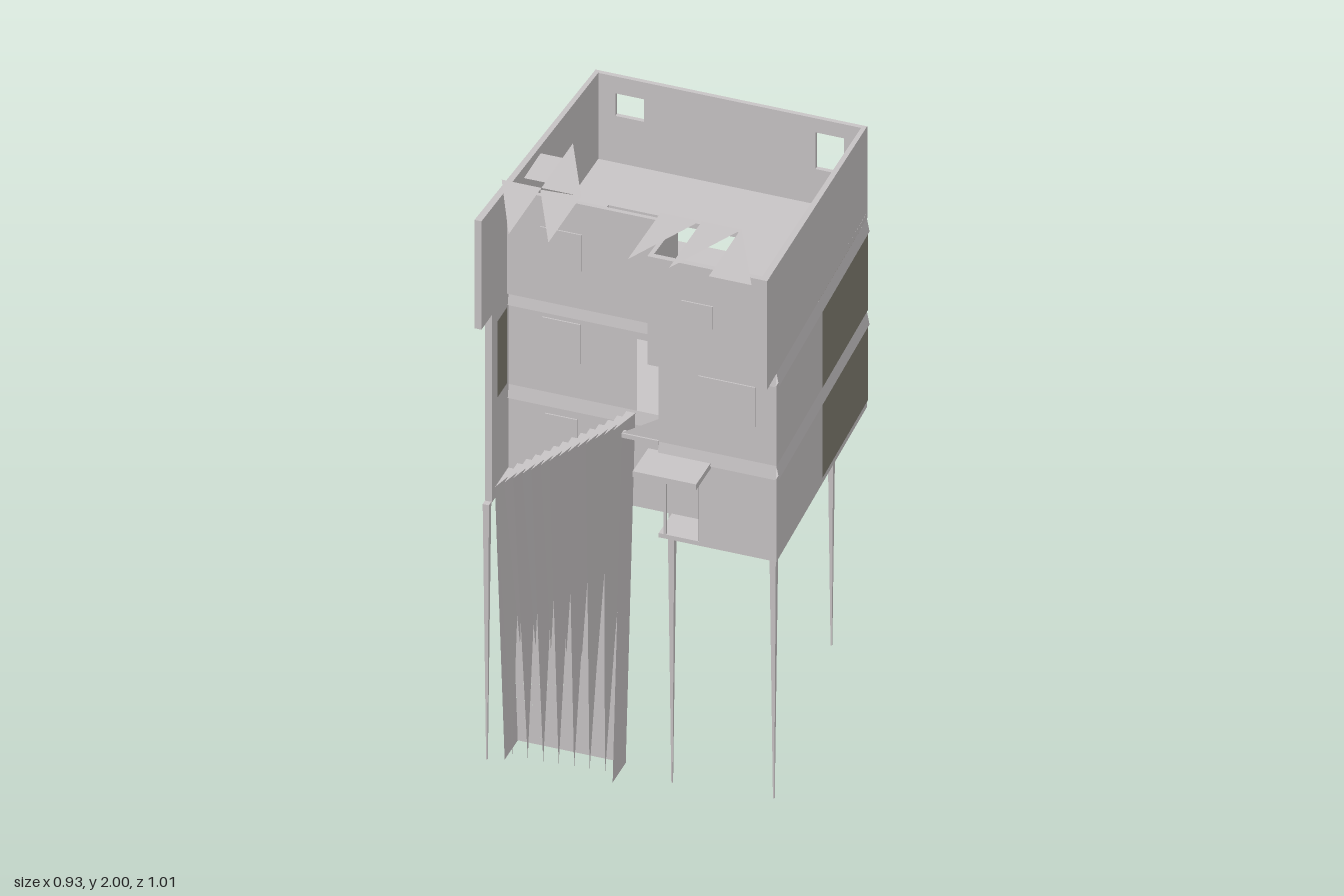
import * as THREE from 'three';

const wallMat = new THREE.MeshStandardMaterial({ color: 0xc8c4c5 });
wallMat.name = 'pale grey wall';
const sheetMat = new THREE.MeshStandardMaterial({ color: 0xc8c4c5, side: THREE.DoubleSide });
sheetMat.name = 'pale grey sheet';
const oliveMat = new THREE.MeshStandardMaterial({ color: 0x807d71, side: THREE.DoubleSide });
oliveMat.name = 'olive panel';

const roofY = (z) => 1.93 + (z + 0.5) * 0.063;
const sideX = (s, z) => (s > 0 ? 0.44 + 0.045 * z : -0.45 - 0.025 * z);

export function createModel() {
  const model = new THREE.Group();
  const add = (name, geo, mat = wallMat) => {
    const m = new THREE.Mesh(geo, mat);
    m.name = name;
    model.add(m);
    return m;
  };
  const box = (name, x0, x1, y0, y1, z0, z1) => {
    const g = new THREE.BoxGeometry(x1 - x0, y1 - y0, z1 - z0);
    g.translate((x0 + x1) / 2, (y0 + y1) / 2, (z0 + z1) / 2);
    return add(name, g);
  };
  // Flat faces from a list of triangles or quads
  const faces = (name, polys, mat = sheetMat) => {
    const p = [];
    for (const f of polys) for (let i = 1; i < f.length - 1; i++) p.push(...f[0], ...f[i], ...f[i + 1]);
    const g = new THREE.BufferGeometry();
    g.setAttribute('position', new THREE.Float32BufferAttribute(p, 3));
    g.computeVertexNormals();
    return add(name, g, mat);
  };
  // Prism on a plan outline of [x, z]; its top follows a height rule, with optional holes
  const prism = (name, pts, y0, top, hole) => {
    const s = new THREE.Shape(pts.map(([x, z]) => new THREE.Vector2(x, -z)));
    if (hole) s.holes.push(new THREE.Path(hole.map(([x, z]) => new THREE.Vector2(x, -z))));
    const g = new THREE.ExtrudeGeometry(s, { depth: 1, bevelEnabled: false });
    g.rotateX(-Math.PI / 2);
    const p = g.attributes.position;
    for (let i = 0; i < p.count; i++) p.setY(i, p.getY(i) > 0.5 ? top(p.getZ(i)) : y0);
    g.computeVertexNormals();
    return add(name, g);
  };
  // Outward panel on plan edge a-b between fractions t0..t1, offset by o0 (bottom) and o1 (top)
  const panel = (name, [a, b], t0, t1, y0, y1, mat = wallMat, o0 = 0, o1 = o0) => {
    const dx = b[0] - a[0], dz = b[1] - a[1], l = Math.hypot(dx, dz);
    const pt = (t, y, o) => [a[0] + dx * t - (dz / l) * o, y, a[1] + dz * t + (dx / l) * o];
    return faces(name, [[pt(t0, y0, o0), pt(t1, y0, o0), pt(t1, y1, o1), pt(t0, y1, o1)]], mat);
  };

  // Plan of the two lower storeys
  const plan = [[-0.456, 0.23], [0.085, 0.23], [0.085, 0.36], [0.456, 0.36], [0.418, -0.5], [-0.438, -0.5]];
  const edges = plan.map((p, i) => [p, plan[(i + 1) % plan.length]]);
  const [recess, , blockFront, right, back, left] = edges;

  // Storey walls, with openings for the doors, and sloping bands above
  for (const [y0, y1, y2] of [[0.95, 1.23, 1.275], [1.275, 1.56, 1.605]]) {
    edges.forEach((e, i) => {
      const lower = y0 < 1;
      if (e === recess && !lower) {
        panel('recessWall', e, 0, 0.785, y0, y1);
        panel('doorLintel', e, 0.785, 1, 1.53, y1);
      } else if (e === blockFront && lower) {
        panel('entranceWall', e, 0.34, 1, y0, y1);
        panel('entranceLintel', e, 0, 0.34, 1.2, y1);
      } else panel('storeyWall', e, 0, 1, y0, y1);
      panel('floorBand', e, 0, 1, y1, y2, wallMat, 0.008, 0);
    });
  }

  // Slabs
  prism('baseSlab', plan, 0.935, () => 0.95);
  prism('middleSlab', plan, 1.265, () => 1.275);
  const topPlan = [[-0.456, 0.23], [0.085, 0.23], [0.085, 0.44], [0.458, 0.44], [0.418, -0.5], [-0.438, -0.5]];
  prism('terraceFloor', topPlan, 1.605, () => 1.625,
    [[-0.31, -0.27], [0.1, -0.27], [0.1, -0.165], [-0.31, -0.165]]);
  box('floorBeam', 0.115, 0.135, 0.92, 0.936, -0.5, 0.34);

  // Olive panels
  panel('oliveRightMiddle', right, 0.5, 1, 1.28, 1.56, oliveMat, 0.003);
  panel('oliveRightLower', right, 0.5, 1, 0.96, 1.23, oliveMat, 0.003);
  panel('oliveBackMiddle', back, 0, 0.34, 1.28, 1.56, oliveMat, 0.003);
  panel('oliveBackLower', back, 0.69, 1, 0.96, 1.23, oliveMat, 0.003);
  panel('oliveLeftLower', left, 0, 0.62, 0.96, 1.23, oliveMat, 0.003);

  // Top storey parapets
  for (const s of [-1, 1]) {
    const o = [[sideX(s, -0.5), -0.5], [sideX(s, 0.45), 0.45], [sideX(s, 0.45) - s * 0.022, 0.45], [sideX(s, -0.5) - s * 0.014, -0.5]];
    prism('sideParapet', s < 0 ? o : o.reverse(), 1.605, roofY);
  }
  const backShape = new THREE.Shape([[-0.438, 1.605], [0.418, 1.605], [0.418, 1.93], [-0.438, 1.93]].map((p) => new THREE.Vector2(...p)));
  for (const [x0, x1, y0, y1] of [[0.26, 0.35, 1.75, 1.88], [-0.37, -0.28, 1.79, 1.87]])
    backShape.holes.push(new THREE.Path([[x0, y0], [x1, y0], [x1, y1], [x0, y1]].map((p) => new THREE.Vector2(...p))));
  const backGeo = new THREE.ExtrudeGeometry(backShape, { depth: 0.014, bevelEnabled: false });
  backGeo.translate(0, 0, -0.503);
  add('backParapet', backGeo);
  prism('recessParapet', [[-0.456, 0.23], [0.085, 0.23], [0.085, 0.245], [-0.456, 0.245]], 1.605, roofY);
  prism('blockSideParapet', [[0.083, 0.23], [0.097, 0.23], [0.097, 0.45], [0.083, 0.45]], 1.605, roofY);
  prism('blockFrontParapet', [[0.083, 0.43], [0.46, 0.43], [0.46, 0.45], [0.083, 0.45]], 1.605, roofY);

  // Left wall running forward of the recess
  prism('leftFin', [[-0.456, 0.23], [-0.436, 0.23], [-0.44, 0.36], [-0.462, 0.36]], 0.935, () => 1.605);
  faces('finPanel', [[[-0.434, 1.29, 0.25], [-0.434, 1.29, 0.33], [-0.434, 1.56, 0.33], [-0.434, 1.56, 0.25]]], oliveMat);

  // Windows as thin plates
  for (const [x0, x1, y0, y1, z] of [
    [-0.33, -0.21, 1.4, 1.54, 0.23], [-0.32, -0.22, 1.12, 1.2, 0.23], [-0.33, -0.2, 1.74, 1.87, 0.245],
    [0.21, 0.39, 1.4, 1.54, 0.36], [0.19, 0.29, 1.78, 1.86, 0.45], [0.27, 0.33, 1.04, 1.19, -0.504],
  ]) box('window', x0, x1, y0, y1, z, z + 0.004);
  box('sideWindow', -0.451, -0.446, 1.76, 1.83, -0.16, -0.09);

  // Entrance recess and canopy
  faces('entranceRecess', [
    [[0.085, 0.95, 0.25], [0.21, 0.95, 0.25], [0.21, 1.2, 0.25], [0.085, 1.2, 0.25]],
    [[0.21, 0.95, 0.25], [0.21, 0.95, 0.36], [0.21, 1.2, 0.36], [0.21, 1.2, 0.25]],
  ]);
  box('entranceDoorPost', 0.1, 0.108, 0.95, 1.2, 0.352, 0.36);
  box('canopy', 0.05, 0.25, 1.22, 1.24, 0.355, 0.485);

  // Outside stair: open shell with long pleats hanging from each step
  const n = 14, sx = (t) => -0.43 + 0.4 * t, bx = (t) => -0.4 + 0.34 * t;
  const pleats = [], shell = [], treads = [];
  for (let i = 0; i < n; i++) {
    const t0 = i / n, t1 = (i + 1) / n, y = 0.97 + 0.31 * t1;
    const a = sx(t0), b = sx(t1);
    if (i % 2 === 0) pleats.push([[a, y, 0.36], [sx((i + 1.6) / n), y, 0.255], [bx((i + 1) / n), 0.05, 0.36]]);
    else pleats.push([[a, y, 0.36], [b, y, 0.255], [bx(t1), 0.45, 0.36]]);
    shell.push([[b, y, 0.25], [a, y, 0.25], [bx(t0), 0.03, 0.25], [bx(t1), 0.03, 0.25]]);
    treads.push([[a, y, 0.25], [a, y, 0.36], [b, y, 0.25]]);
  }
  shell.push([[-0.43, 0.97, 0.25], [-0.43, 0.97, 0.36], [-0.4, 0.03, 0.36], [-0.4, 0.03, 0.25]]);
  shell.push([[-0.03, 1.28, 0.36], [-0.03, 1.28, 0.25], [-0.06, 0.03, 0.25], [-0.06, 0.03, 0.36]]);
  faces('stairShell', shell);
  faces('stairPleats', pleats);
  faces('stairTreads', treads);
  box('landingEdge', -0.03, 0.085, 1.265, 1.28, 0.345, 0.365);
  faces('landingRail', [[[-0.03, 1.28, 0.36], [0.085, 1.28, 0.36], [0.085, 1.355, 0.36]]]);

  // Inner stair below the terrace opening
  const inner = [];
  for (let i = 0; i < n; i++) {
    const x = -0.3 + i * 0.028, y = 1.32 + i * 0.021;
    inner.push([[x, y, -0.167], [x + 0.026, y, -0.167], [x + 0.024, y - 0.35 * 0.9, -0.268]]);
  }
  faces('innerStair', inner);

  // Needle legs
  for (const [x, z, y] of [[0.44, 0.34, 0.08], [0.12, 0.34, 0.06], [0.31, -0.49, 0.07], [0.125, -0.49, 0.08],
    [-0.01, -0.005, 0.005], [-0.45, 0.375, 0.03], [-0.44, 0.235, 0.02]]) {
    const g = new THREE.CylinderGeometry(0.014, 0.003, 0.94 - y, 4).toNonIndexed();
    g.rotateY(Math.PI / 4);
    g.computeVertexNormals();
    g.translate(x, (0.94 + y) / 2, z);
    add('leg', g);
  }

  // Triangular shade sails over the terrace
  const sails = [
    [[-0.46, 0.225], [-0.335, 0.5], [-0.335, 0.225]],
    [[-0.335, 0.235], [-0.21, 0.5], [-0.21, 0.225]],
    [[-0.335, -0.04], [-0.335, 0.225], [-0.21, 0.225]],
    [[0.04, 0.225], [0.04, 0.5], [0.165, 0.225]],
    [[0.17, 0.225], [0.17, 0.5], [0.295, 0.225]],
    [[0.295, 0.225], [0.295, 0.5], [0.43, 0.5]],
  ];
  faces('shadeSails', sails.map((t) => t.map(([x, z]) => [x, 1.985 + 0.03 * z, z])));
  faces('roofPlate', [[[-0.405, 1.985, 0.045], [-0.405, 1.985, 0.185], [-0.335, 1.985, 0.185], [-0.335, 1.985, 0.045]]]);
  return model;
}
